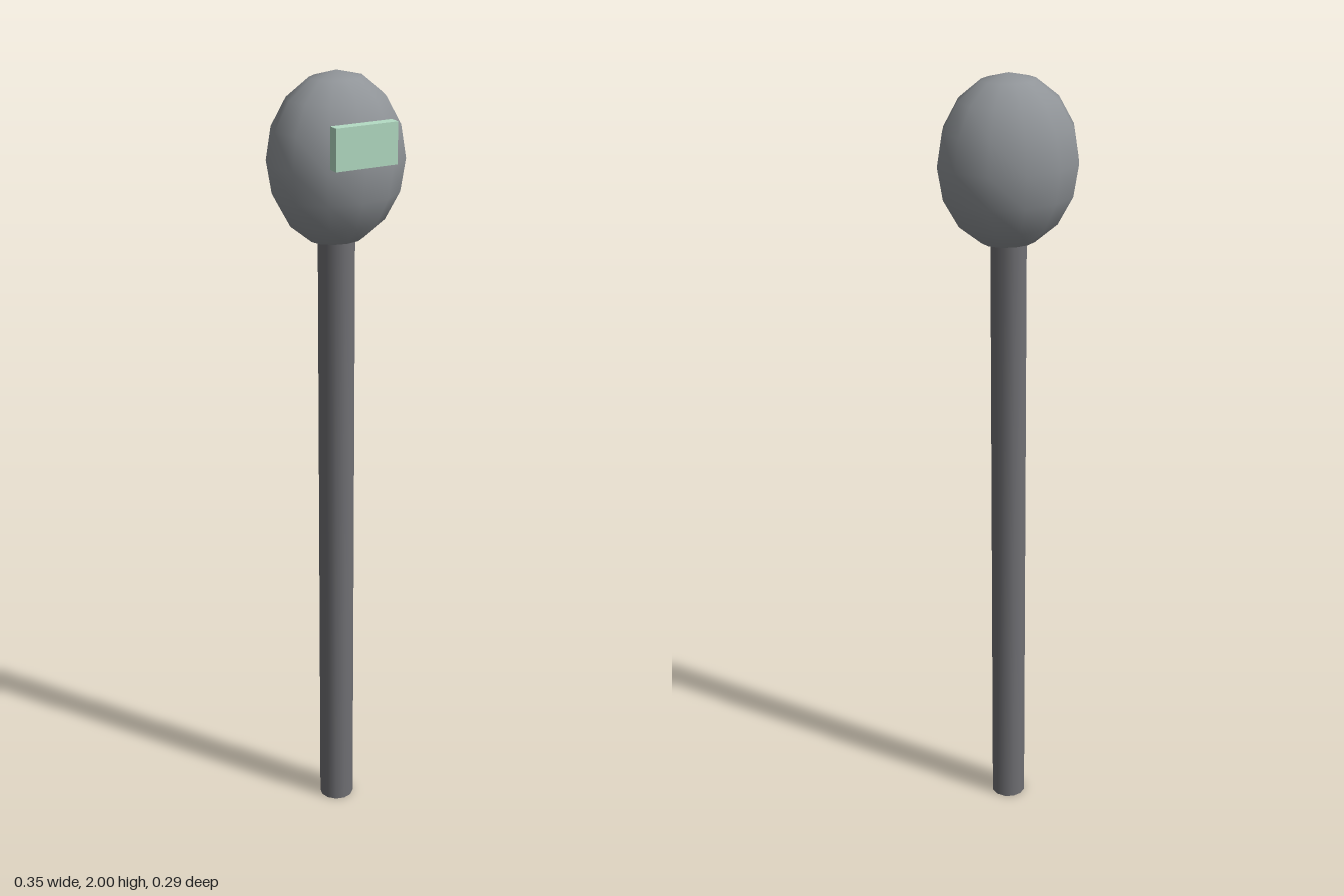
import * as THREE from 'three';
import { mergeVertices } from 'three/addons/utils/BufferGeometryUtils.js';

// Weld a geometry so its shading runs smoothly over every edge
function smooth(geometry) {
  geometry.deleteAttribute('uv');
  geometry.deleteAttribute('normal');
  const welded = mergeVertices(geometry, 1e-4);
  welded.computeVertexNormals();
  return welded;
}

export function createModel() {
  const model = new THREE.Group();
  const axisZ = -0.005;

  function add(name, geometry, color, x, y, z) {
    const mesh = new THREE.Mesh(geometry, new THREE.MeshStandardMaterial({ color }));
    mesh.name = name;
    mesh.position.set(x, y, z);
    model.add(mesh);
  }

  // Round post, its top sunk into the head
  const postHeight = 1.61;
  add('post', smooth(new THREE.CylinderGeometry(0.045, 0.045, postHeight, 12)),
    0x707074, 0, postHeight / 2, axisZ);

  // Egg-shaped head, wider than deep
  const head = new THREE.SphereGeometry(1, 12, 8).scale(0.175, 0.21, 0.14);
  add('head', smooth(head), 0x909498, 0, 1.79, axisZ);

  // Flat panel on the front of the head
  add('frontPanel', new THREE.BoxGeometry(0.163, 0.1, 0.028), 0xb4dcc4, 0, 1.85, 0.131);

  return model;
}
